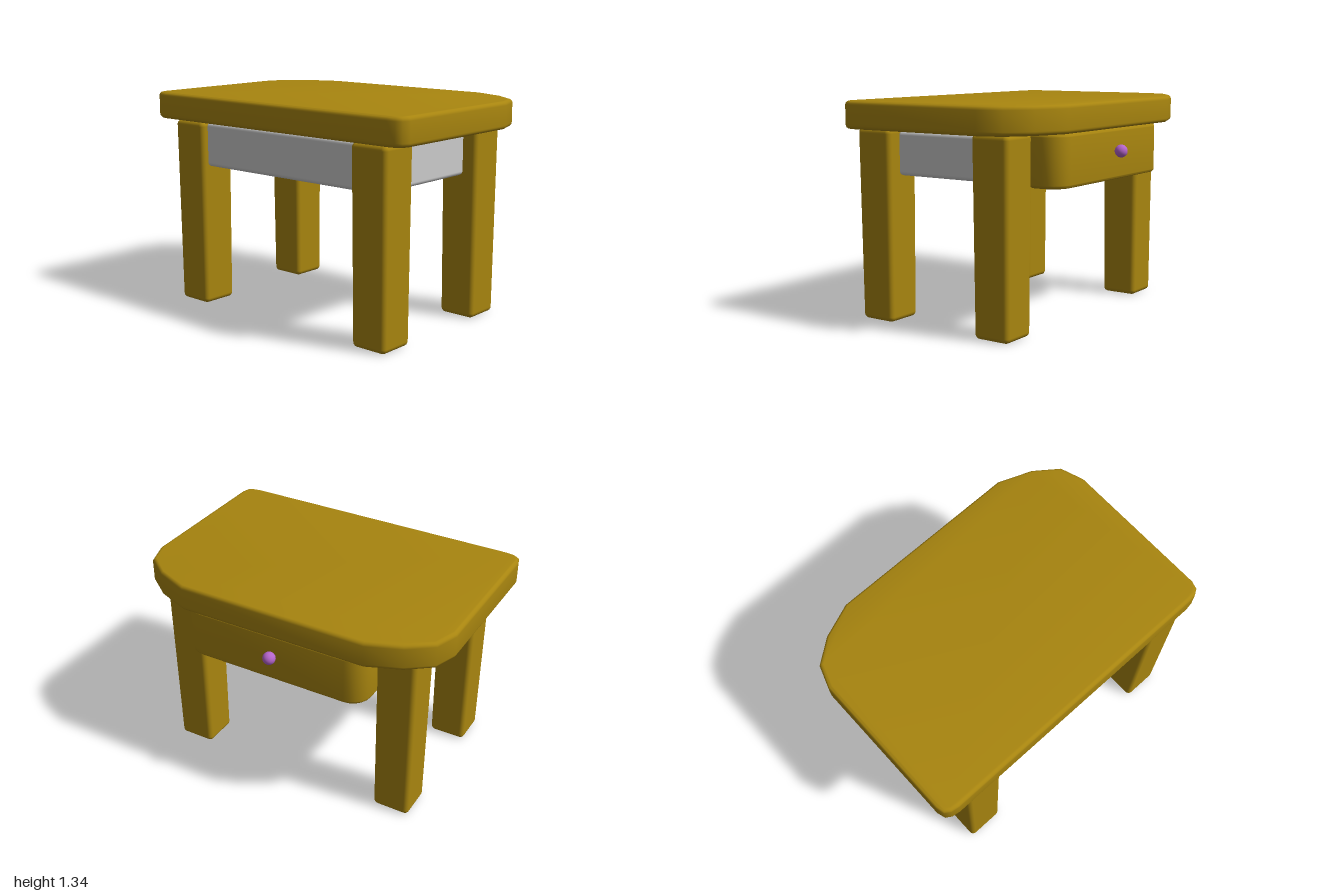
import * as THREE from 'three';
import { toCreasedNormals } from 'three/addons/utils/BufferGeometryUtils.js';
import { RoundedBoxGeometry } from 'three/addons/geometries/RoundedBoxGeometry.js';

const wood = new THREE.MeshStandardMaterial({ color: 0xa8850f });
const grey = new THREE.MeshStandardMaterial({ color: 0xcccccc });
const purple = new THREE.MeshStandardMaterial({ color: 0xb565cc });

export function createModel() {
  const model = new THREE.Group();

  const add = (name, geometry, material, x = 0, y = 0, z = 0) => {
    const mesh = new THREE.Mesh(geometry, material);
    mesh.name = name;
    mesh.position.set(x, y, z);
    model.add(mesh);
  };

  // Box with rounded edges given by its min and max corners
  const roundedBox = (name, material, min, max, radius) => {
    const size = max.map((v, i) => v - min[i]);
    const centre = max.map((v, i) => (v + min[i]) / 2);
    add(name, new RoundedBoxGeometry(...size, 3, radius), material, ...centre);
  };

  // Horizontal slab with rounded rims; half outline [x, z] is mirrored in z
  const slab = (half, y0, y1, bevel) => {
    const points = [...half, ...half.map(([x, z]) => [x, -z]).reverse()];
    const shape = new THREE.Shape(points.map(([x, z]) => new THREE.Vector2(x, -z)));
    const geometry = new THREE.ExtrudeGeometry(shape, {
      depth: y1 - y0 - 2 * bevel,
      bevelThickness: bevel, bevelSize: bevel, bevelOffset: -bevel, bevelSegments: 5,
    });
    geometry.rotateX(-Math.PI / 2).translate(0, y0 + bevel, 0);
    return toCreasedNormals(geometry, 0.75);
  };

  // Table top: small back corners, wide faceted corners on the drawer side
  add('tableTop', slab([
    [-0.69, 0.9], [-0.682, 0.95], [-0.66, 0.985], [-0.61, 1],
    [0.31, 1], [0.455, 0.95], [0.565, 0.805], [0.645, 0.6],
  ], 1.168, 1.335, 0.025), wood);

  // Legs, slightly slimmer at the foot
  const legHeight = 1.17;
  const leg = new RoundedBoxGeometry(0.25, legHeight, 0.25, 4, 0.03);
  const p = leg.attributes.position;
  for (let i = 0; i < p.count; i++) {
    const k = THREE.MathUtils.lerp(0.94, 1, p.getY(i) / legHeight + 0.5);
    p.setX(i, p.getX(i) * k);
    p.setZ(i, p.getZ(i) * k);
  }
  for (const [sx, x] of [['right', -0.545], ['left', 0.307]])
    for (const [sz, z] of [['Front', 0.755], ['Back', -0.698]])
      add(`${sx}${sz}Leg`, leg, wood, x, legHeight / 2, z);

  // Apron panels between the legs
  roundedBox('frontApron', grey, [-0.42, 0.89, 0.72], [0.182, 1.155, 0.8], 0.025);
  roundedBox('backApron', wood, [-0.42, 0.89, -0.725], [0.182, 1.165, -0.645], 0.025);
  roundedBox('sideApron', grey, [-0.625, 0.89, -0.59], [-0.505, 1.165, 0.645], 0.025);

  // Drawer front with rounded outer ends, tray board and knob
  const corner = [0, 1, 2, 3, 4, 5].map((i) => {
    const a = (1 - i / 5) * Math.PI / 2;
    return [0.49 + 0.12 * Math.cos(a), 0.485 + 0.12 * Math.sin(a)];
  });
  add('drawerFront', slab([[0.41, 0.605], ...corner], 0.855, 1.166, 0.02), wood, 0, 0, 0.025);
  add('drawerBoard', new THREE.BoxGeometry(0.8, 0.035, 0.99), grey, 0.04, 0.947, 0.025);
  add('drawerKnob', new THREE.SphereGeometry(0.039, 24, 16), purple, 0.647, 1.03, 0.005);

  return model;
}
